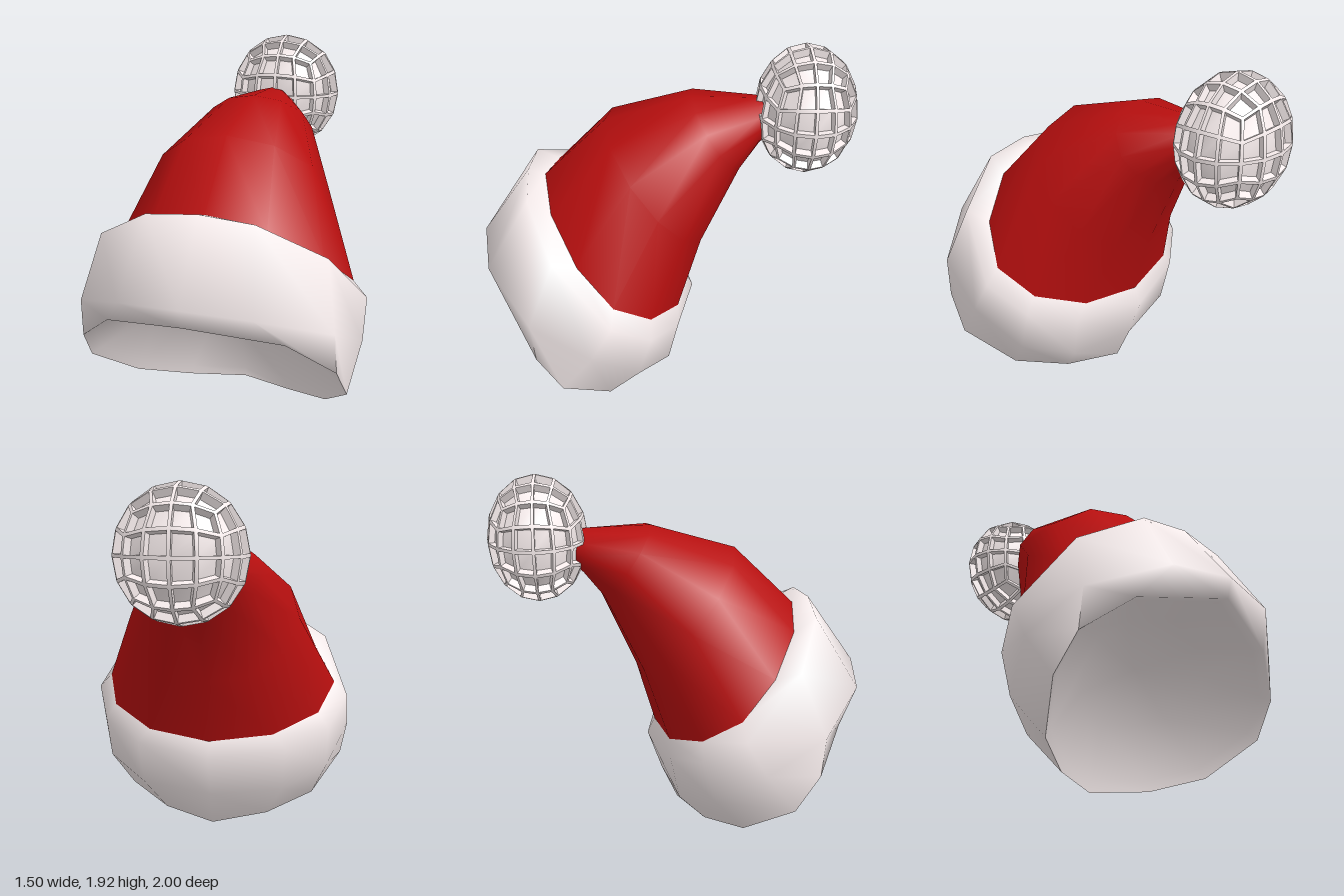
import * as THREE from 'three';
import { mergeVertices, toCreasedNormals } from 'three/addons/utils/BufferGeometryUtils.js';

const RED = 0xb80f0f, WHITE = 0xf6ecec;

// Half ring (front to back on the left side) mirrored into a closed ring
const mirrorRing = half => [
  ...half,
  ...half.slice(1, -1).reverse().map(([x, y, z]) => [-x, y, z]),
];

// Oval ring from its front [z, y], back [z, y] and half width
function ovalRing([fz, fy], [bz, by], w, n = 12) {
  return Array.from({ length: n }, (_, i) => {
    const a = (i / n) * Math.PI * 2, c = Math.cos(a) / 2;
    return [w * Math.sin(a), (fy + by) / 2 + (fy - by) * c, (fz + bz) / 2 + (fz - bz) * c];
  });
}

// Skin between successive rings, listed from the tip downwards
function loft(rings, crease) {
  const n = rings[0].length, index = [];
  for (let r = 0; r < rings.length - 1; r++) {
    for (let i = 0; i < n; i++) {
      const a = r * n + i, b = r * n + (i + 1) % n;
      index.push(a, a + n, b + n, a, b + n, b);
    }
  }
  const geo = new THREE.BufferGeometry();
  geo.setAttribute('position', new THREE.Float32BufferAttribute(rings.flat(2), 3));
  geo.setIndex(index);
  return toCreasedNormals(geo, crease);
}

// Round ball with recessed panels between raised ribs
function ribbedBall(radii, cells, ribShare, depth) {
  const pos = [];
  const quad = (a, b, c, d) => [a, b, c, a, c, d].forEach(p => pos.push(p.x, p.y, p.z));
  const axes = [
    [[1, 0, 0], [0, 1, 0]], [[-1, 0, 0], [0, 1, 0]], [[0, 0, 1], [0, 1, 0]],
    [[0, 0, -1], [0, 1, 0]], [[1, 0, 0], [0, 0, 1]], [[1, 0, 0], [0, 0, -1]],
  ];
  for (const [u, v] of axes) {
    const U = new THREE.Vector3(...u), V = new THREE.Vector3(...v);
    const N = U.clone().cross(V);
    const point = (i, j) => N.clone()
      .addScaledVector(U, Math.tan((i / cells - 0.5) * Math.PI / 2))
      .addScaledVector(V, Math.tan((j / cells - 0.5) * Math.PI / 2))
      .normalize().multiply(radii);
    for (let i = 0; i < cells; i++) {
      for (let j = 0; j < cells; j++) {
        const outer = [point(i, j), point(i + 1, j), point(i + 1, j + 1), point(i, j + 1)];
        const mid = point(i + 0.5, j + 0.5);
        const rim = outer.map(p => p.clone().lerp(mid, ribShare));
        const floor = rim.map(p => p.clone().multiplyScalar(1 - depth));
        for (let k = 0; k < 4; k++) {
          const m = (k + 1) % 4;
          quad(outer[k], outer[m], rim[m], rim[k]);
          quad(rim[k], rim[m], floor[m], floor[k]);
        }
        quad(...floor);
      }
    }
  }
  const geo = new THREE.BufferGeometry();
  geo.setAttribute('position', new THREE.Float32BufferAttribute(pos, 3));
  return toCreasedNormals(mergeVertices(geo, 1e-4), 0.5);
}

export function createModel() {
  const hat = new THREE.Group();
  hat.name = 'bobbleHat';
  const add = (name, geo, color) => {
    const mesh = new THREE.Mesh(geo, new THREE.MeshStandardMaterial({ color, side: THREE.DoubleSide }));
    mesh.name = name;
    hat.add(mesh);
    return mesh;
  };

  // Rings of the furry band, from the cone seam to the opening
  const seam = mirrorRing([[0, 1.2, 0.64], [0.3, 1.13, 0.59], [0.55, 0.97, 0.45], [0.67, 0.8, 0.27],
    [0.59, 0.66, 0.08], [0.35, 0.56, -0.07], [0, 0.52, -0.13]]);
  const shoulder = mirrorRing([[0, 1.23, 0.73], [0.28, 1.2, 0.71], [0.6, 1.02, 0.57], [0.745, 0.72, 0.28],
    [0.65, 0.57, 0.08], [0.42, 0.48, -0.07], [0, 0.43, -0.17]]);
  const belly = mirrorRing([[0, 0.85, 1], [0.34, 0.82, 0.94], [0.67, 0.69, 0.7], [0.75, 0.53, 0.39],
    [0.64, 0.33, 0.15], [0.4, 0.23, -0.02], [0, 0.2, -0.09]]);
  const lip = mirrorRing([[0, 0.75, 0.97], [0.46, 0.66, 0.82], [0.68, 0.48, 0.68], [0.71, 0.3, 0.55],
    [0.55, 0.11, 0.31], [0.3, 0.03, 0.13], [0, 0, 0]]);

  // Hollow inside: the lip ring shrunk and pushed up into the hat
  const hollow = (s, d) => lip.map(([x, y, z]) =>
    [x * s, 0.37 + (y - 0.37) * s + 0.79 * d, 0.5 + (z - 0.5) * s - 0.61 * d]);
  add('furBand', loft([seam, shoulder, belly, lip, hollow(0.93, 0.04), hollow(0.55, 0.21), hollow(0, 0.26)], 1.7), WHITE);

  // Cone that bends backwards to the bobble
  add('cone', loft([
    ovalRing([-0.55, 1.63], [-0.56, 1.46], 0.09),
    ovalRing([-0.48, 1.64], [-0.5, 1.4], 0.14),
    ovalRing([-0.14, 1.65], [-0.41, 1.28], 0.3),
    ovalRing([0.31, 1.52], [-0.23, 0.87], 0.48),
    seam,
  ], 1.7), RED);

  // Ribbed bobble at the tip
  const bobble = add('bobble', ribbedBall(new THREE.Vector3(0.325, 0.335, 0.265), 4, 0.15, 0.12), WHITE);
  bobble.position.set(0.02, 1.585, -0.735);

  return hat;
}
